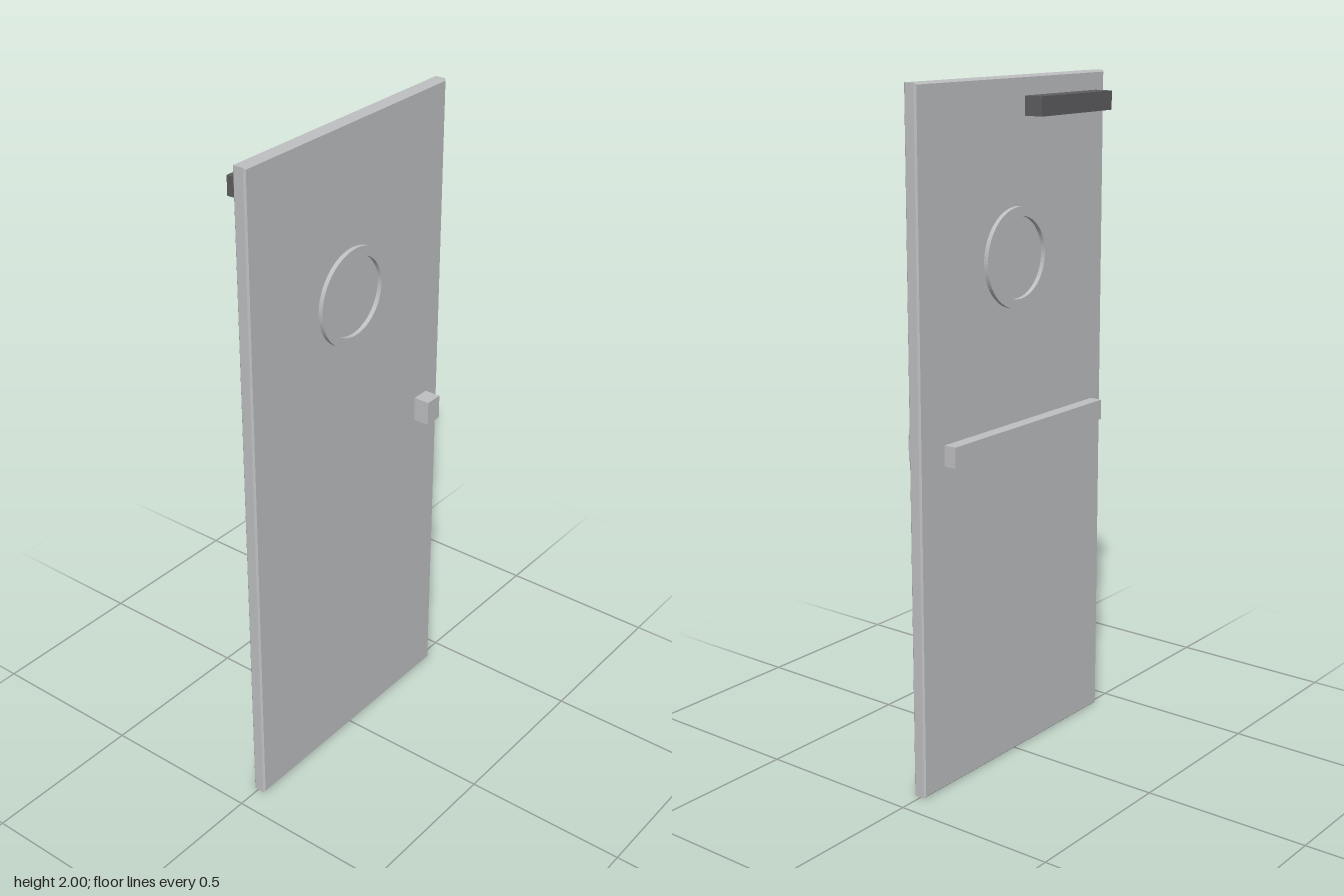
import * as THREE from 'three';

const steel = new THREE.MeshStandardMaterial({ name: 'pale steel grey', color: 0xbfc0c2 });
const dark = new THREE.MeshStandardMaterial({ name: 'dark grey', color: 0x5e5e60 });

const DOOR_Z = 0.004; // middle of the slab's thickness

// Box given by its extents on each axis
function box(name, material, [x0, x1], [y0, y1], [z0, z1]) {
  const mesh = new THREE.Mesh(new THREE.BoxGeometry(x1 - x0, y1 - y0, z1 - z0), material);
  mesh.position.set((x0 + x1) / 2, (y0 + y1) / 2, (z0 + z1) / 2);
  mesh.name = name;
  return mesh;
}

// Tall slab with a fine chamfer on its front and back edges
function doorSlab() {
  const w = 0.4225, h = 2, t = 0.041, c = 0.005;
  const shape = new THREE.Shape([
    new THREE.Vector2(-w + c, c), new THREE.Vector2(w - c, c),
    new THREE.Vector2(w - c, h - c), new THREE.Vector2(-w + c, h - c),
  ]);
  const geometry = new THREE.ExtrudeGeometry(shape, {
    depth: t - 2 * c, bevelEnabled: true, bevelThickness: c, bevelSize: c, bevelSegments: 1,
  });
  geometry.translate(0, 0, DOOR_Z - t / 2 + c);
  const mesh = new THREE.Mesh(geometry, steel);
  mesh.name = 'doorSlab';
  return mesh;
}

// Flat ring around the round window, passing through to both faces
function windowRim() {
  const depth = 0.068;
  const shape = new THREE.Shape().absarc(0, 0, 0.144, 0, Math.PI * 2, false);
  shape.holes.push(new THREE.Path().absarc(0, 0, 0.117, 0, Math.PI * 2, true));
  const geometry = new THREE.ExtrudeGeometry(shape, { depth, bevelEnabled: false, curveSegments: 48 });
  const mesh = new THREE.Mesh(geometry, steel);
  mesh.position.set(0, 1.5, DOOR_Z - depth / 2);
  mesh.name = 'windowRim';
  return mesh;
}

export function createModel() {
  const door = new THREE.Group();
  door.name = 'door';
  door.add(
    doorSlab(),
    windowRim(),
    box('handle', steel, [0.308, 0.365], [0.97, 1.045], [0.023, 0.075]),
    box('pushBar', steel, [-0.345, 0.345], [0.97, 1.03], [-0.075, -0.037]),
    box('doorCloser', dark, [-0.378, -0.04], [1.89, 1.945], [-0.075, -0.016]),
  );
  return door;
}
